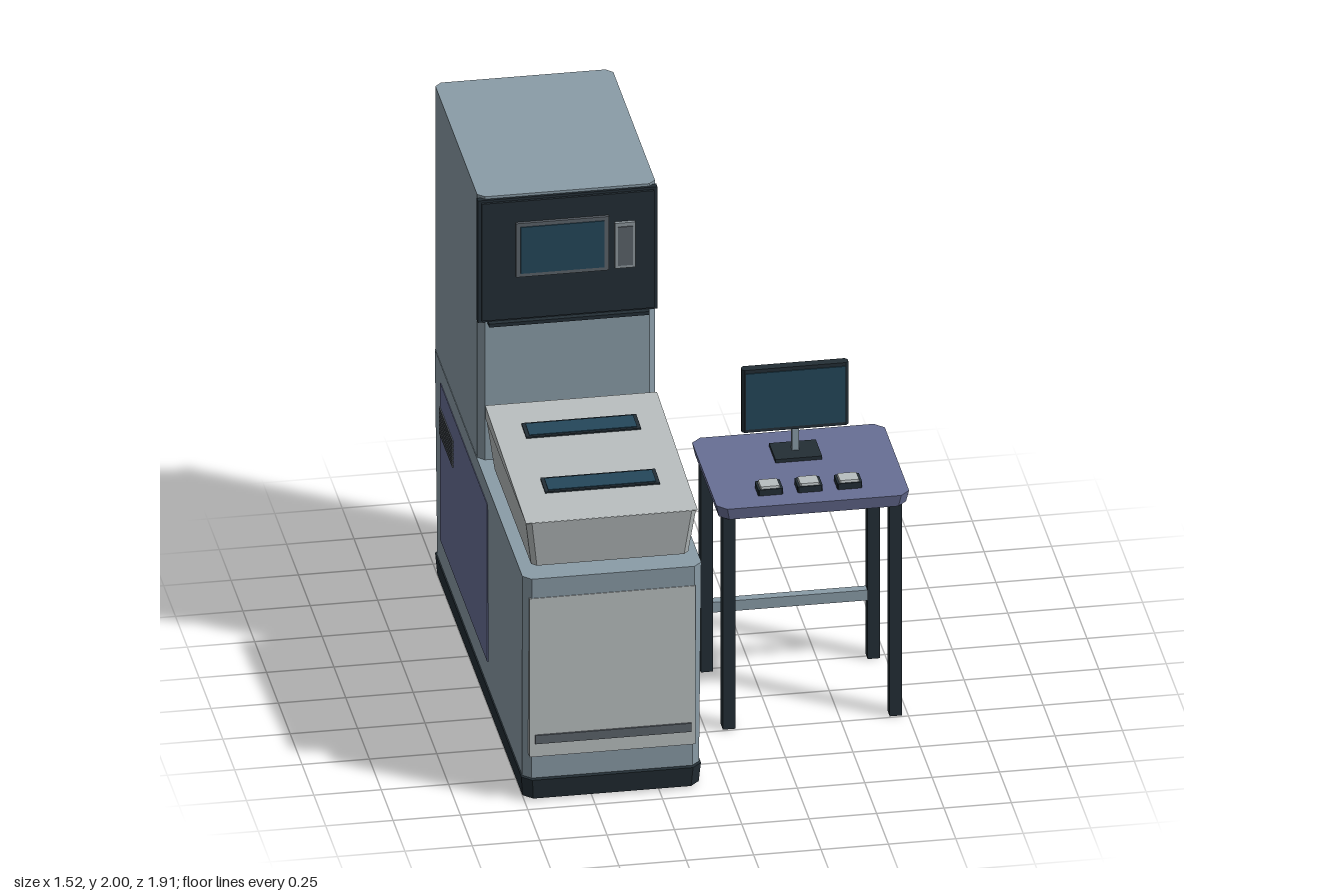
import * as THREE from 'three';

const mat = (name, color) => {
  const m = new THREE.MeshStandardMaterial({ color });
  m.name = name;
  return m;
};

export function createModel() {
  const model = new THREE.Group();
  model.name = 'workstation';
  const steel = mat('blueGreySteel', 0x8a9ca7);
  const pale = mat('paleGrey', 0xb8bebf);
  const dark = mat('darkTrim', 0x232e35);
  const purple = mat('slatePurple', 0x686f95);
  const glass = mat('blueGlass', 0x24475a);
  const grey = mat('midGrey', 0x5c636a);
  const silver = mat('silver', 0x8d979d);

  const group = (name) => {
    const g = new THREE.Group();
    g.name = name;
    model.add(g);
    return g;
  };
  const add = (parent, name, geo, material) => {
    const m = new THREE.Mesh(geo, material);
    m.name = name;
    parent.add(m);
    return m;
  };
  // box given by its limits on each axis
  const box = (parent, name, material, [x0, x1], [y0, y1], [z0, z1]) => {
    const m = add(parent, name, new THREE.BoxGeometry(x1 - x0, y1 - y0, z1 - z0), material);
    m.position.set((x0 + x1) / 2, (y0 + y1) / 2, (z0 + z1) / 2);
    return m;
  };
  // upright slab with cut corners; the bottom is inset to give a taper
  const slab = (parent, name, material, [x0, x1], [y0, y1], [z0, z1], cut, insetX = 0, insetZ = 0, rise = 0) => {
    const w = (x1 - x0) / 2, d = (z1 - z0) / 2, h = y1 - y0;
    const s = new THREE.Shape([
      [-w + cut, -d], [w - cut, -d], [w, -d + cut], [w, d - cut],
      [w - cut, d], [-w + cut, d], [-w, d - cut], [-w, -d + cut],
    ].map(([x, y]) => new THREE.Vector2(x, y)));
    const geo = new THREE.ExtrudeGeometry(s, { depth: h, bevelEnabled: false });
    geo.rotateX(-Math.PI / 2);
    const p = geo.attributes.position;
    for (let i = 0; i < p.count; i++) {
      if (p.getY(i) < h / 2) {
        p.setX(i, p.getX(i) * (1 - insetX / w));
        p.setZ(i, p.getZ(i) * (1 - insetZ / d));
      } else {
        p.setY(i, h + rise * (d - p.getZ(i)) / (2 * d)); // top climbs to the back
      }
    }
    geo.computeVertexNormals();
    const m = add(parent, name, geo, material);
    m.position.set((x0 + x1) / 2, y0, (z0 + z1) / 2);
    return m;
  };

  // cabinet
  const cab = group('cabinet');
  const cx = -0.425;
  const wide = [-0.755, -0.095];
  slab(cab, 'plinth', dark, [-0.758, -0.092], [0.008, 0.09], [-0.95, 0.945], 0.035, 0.006, 0.014);
  for (const x of [-0.68, -0.17]) for (const z of [-0.78, 0.775])
    box(cab, 'foot', dark, [x - 0.035, x + 0.035], [0, 0.01], [z - 0.035, z + 0.035]);
  slab(cab, 'lowerCabinet', steel, [-0.757, -0.093], [0.09, 0.92], [-0.955, 0.953], 0.03, 0.004, 0.027);
  slab(cab, 'upperCabinet', steel, wide, [0.92, 2], [-0.95, -0.02], 0.025);
  box(cab, 'frontDoor', pale, [-0.735, -0.12], [0.19, 0.84], [0.92, 0.953]);
  box(cab, 'doorStrip', grey, [-0.715, -0.135], [0.245, 0.28], [0.95, 0.96]);

  // side service panels with louvres, mirrored
  for (const s of [-1, 1]) {
    const side = (inner, outer) => [cx + s * inner, cx + s * outer].sort((a, b) => a - b);
    box(cab, 'sidePanel', purple, side(0.325, 0.334), [0.2, 0.845], [-0.8, 0.19]);
    for (let i = 0; i < 7; i++) {
      const y = 0.637 + i * 0.0165;
      box(cab, 'louvre', grey, side(0.33, 0.338), [y, y + 0.01], [-0.805, -0.525]);
    }
  }

  // display panel
  const panel = group('displayPanel');
  box(panel, 'panelPlate', dark, [-0.758, -0.092], [1.49, 1.99], [-0.035, -0.01]);
  box(panel, 'panelFace', dark, [-0.745, -0.105], [1.5, 1.98], [-0.012, 0]);
  box(panel, 'panelLip', dark, [-0.72, -0.125], [1.478, 1.492], [-0.02, 0.012]);
  box(panel, 'screenFrame', grey, [-0.62, -0.275], [1.675, 1.895], [-0.005, 0.012]);
  box(panel, 'screen', glass, [-0.603, -0.292], [1.69, 1.88], [0.01, 0.016]);
  box(panel, 'reader', silver, [-0.253, -0.178], [1.68, 1.865], [-0.005, 0.014]);
  box(panel, 'readerGrille', grey, [-0.243, -0.188], [1.692, 1.85], [0.012, 0.018]);

  // sloped console
  const con = group('console');
  slab(con, 'consoleBody', pale, [-0.74, -0.107], [0.94, 1.13], [0.05, 0.917], 0.02, 0.025, 0.03);
  slab(con, 'consoleLid', pale, [-0.742, -0.105], [1.129, 1.131], [0.053, 0.915], 0.003, 0, 0, 0.05);
  for (const [z, y] of [[0.26, 1.17], [0.66, 1.147]]) {
    const slot = new THREE.Group();
    slot.name = 'consoleSlot';
    slot.position.set(cx + 0.003, y, z);
    slot.rotation.x = 0.058;
    con.add(slot);
    box(slot, 'slotFrame', dark, [-0.213, 0.213], [-0.012, 0.005], [-0.052, 0.052]);
    box(slot, 'slotWindow', glass, [-0.2, 0.2], [0.004, 0.008], [-0.042, 0.042]);
  }

  // desk
  const desk = group('desk');
  slab(desk, 'deskTop', purple, [0.04, 0.755], [0.87, 0.918], [-0.063, 0.52], 0.035, 0.01, 0.01);
  for (const x of [0.086, 0.705]) for (const z of [0, 0.466])
    box(desk, 'deskLeg', dark, [x - 0.023, x + 0.023], [0, 0.872], [z - 0.025, z + 0.025]);
  box(desk, 'crossbar', steel, [0.1, 0.69], [0.238, 0.28], [-0.018, 0.018]);

  // monitor
  const mon = group('monitor');
  box(mon, 'monitorBase', dark, [0.312, 0.485], [0.916, 0.932], [0.05, 0.185]);
  box(mon, 'monitorPost', steel, [0.385, 0.411], [0.93, 1.04], [0.097, 0.122]);
  slab(mon, 'monitorCase', dark, [0.198, 0.594], [1.022, 1.278], [0.092, 0.128], 0.01);
  box(mon, 'monitorScreen', glass, [0.212, 0.58], [1.036, 1.264], [0.125, 0.132]);

  // push buttons
  for (const x of [0.25, 0.397, 0.544]) {
    slab(desk, 'buttonBase', dark, [x - 0.046, x + 0.046], [0.916, 0.942], [0.36, 0.436], 0.004);
    slab(desk, 'buttonCap', pale, [x - 0.035, x + 0.035], [0.94, 0.951], [0.368, 0.428], 0.004, -0.003, -0.003);
  }
  return model;
}
